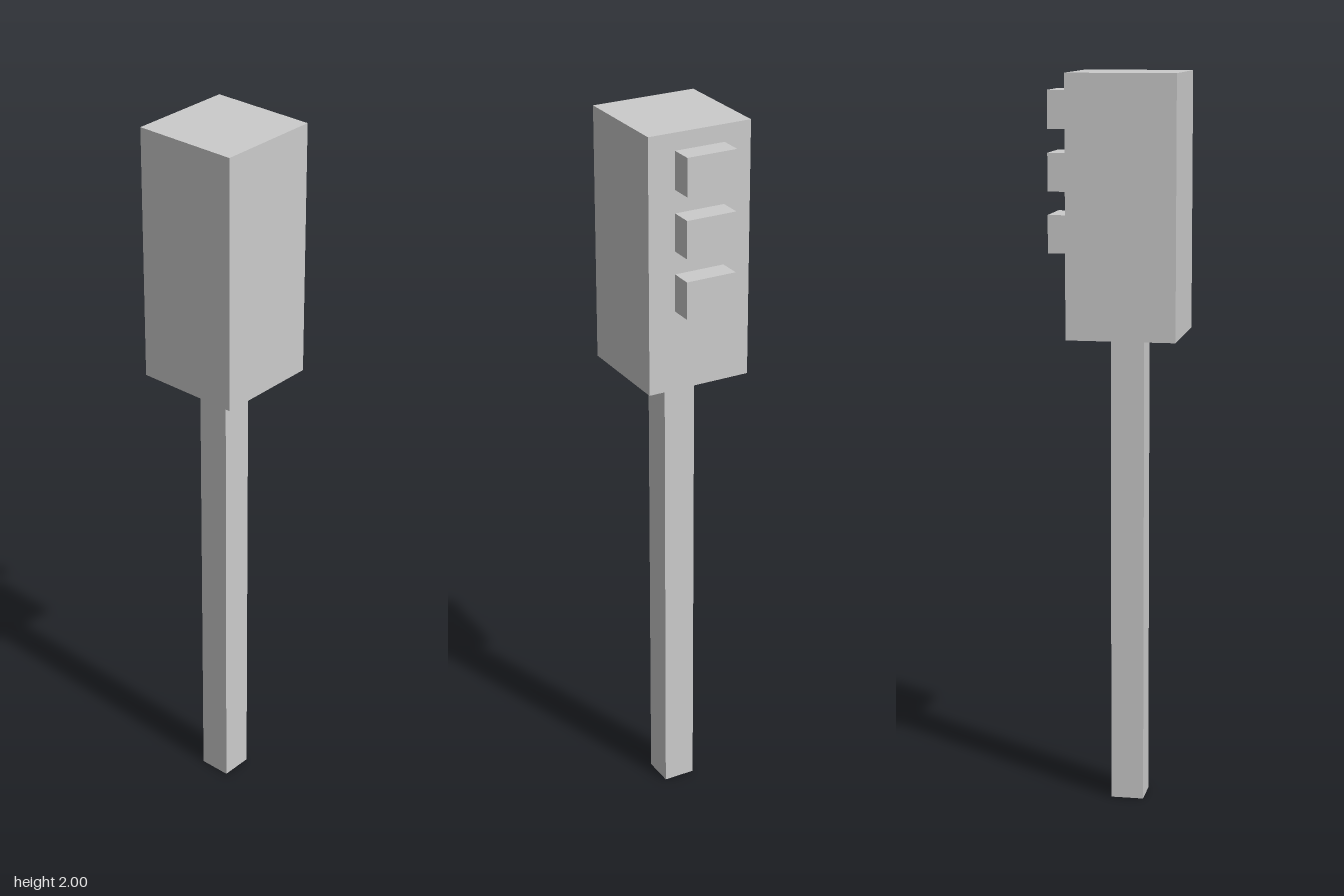
import * as THREE from 'three';

const material = new THREE.MeshStandardMaterial({ color: 0xcccccc, flatShading: true });

// Box given by its lower and upper limits on each axis
function box(name, [x0, x1], [y0, y1], [z0, z1]) {
  const mesh = new THREE.Mesh(new THREE.BoxGeometry(x1 - x0, y1 - y0, z1 - z0), material);
  mesh.position.set((x0 + x1) / 2, (y0 + y1) / 2, (z0 + z1) / 2);
  mesh.name = name;
  return mesh;
}

export function createModel() {
  const model = new THREE.Group();
  model.name = 'trafficLight';

  // Square post and signal housing
  model.add(box('post', [-0.078, 0.012], [0, 1.302], [-0.045, 0.045]));
  model.add(box('housing', [-0.178, 0.116], [1.302, 2], [-0.147, 0.147]));

  // Three lamps stacked on the left face of the housing
  ['topLamp', 'middleLamp', 'bottomLamp'].forEach((name, i) => {
    const y = 1.902 - i * 0.164;
    model.add(box(name, [0.116, 0.178], [y - 0.051, y + 0.051], [-0.071, 0.071]));
  });

  return model;
}
